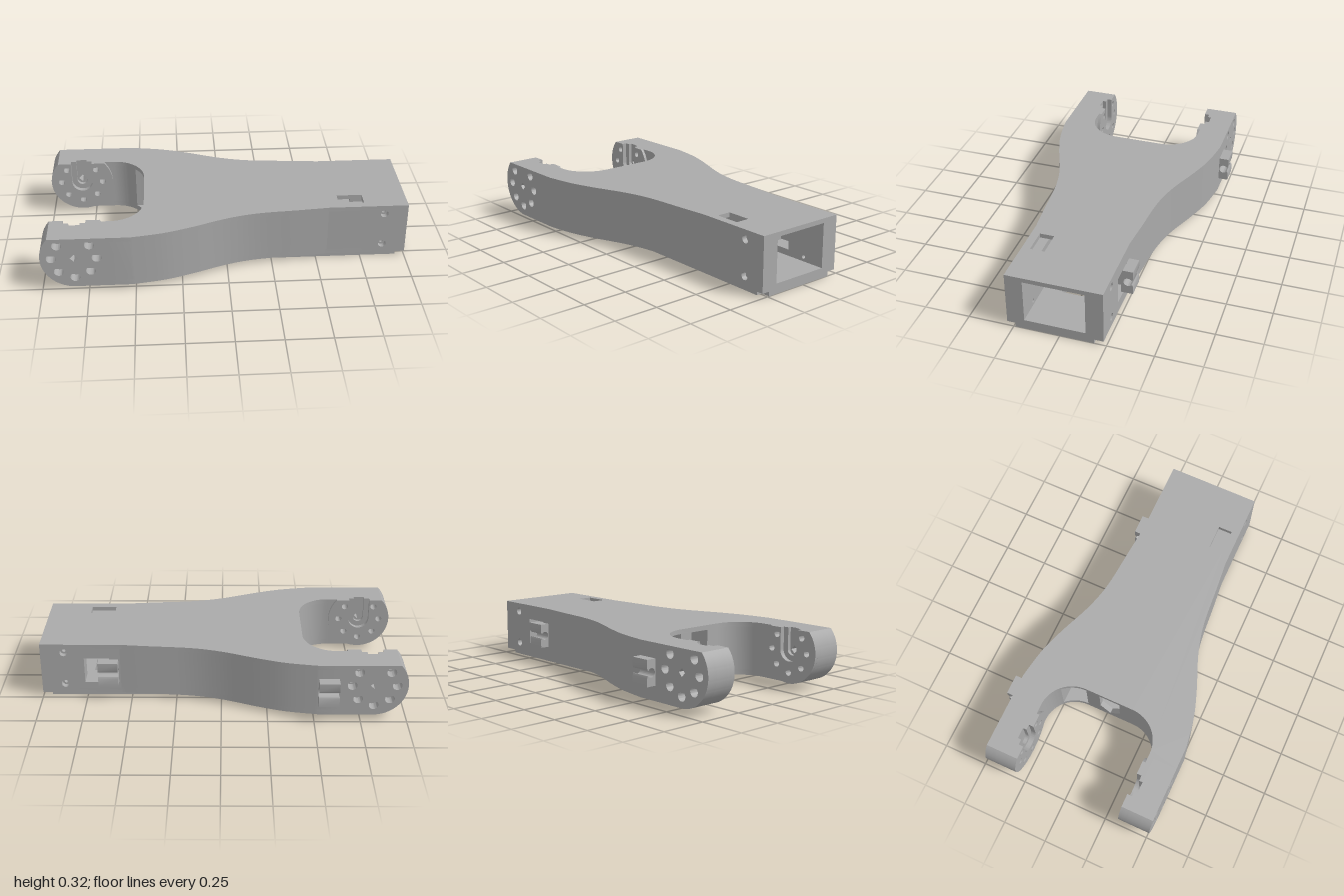
import * as THREE from 'three';
import { toCreasedNormals } from 'three/addons/utils/BufferGeometryUtils.js';

const MID = 0.025;            // z of the symmetry plane
const CX = -0.82, CY = 0.205; // axis of the fork joint
const R = 0.18, TOP = 0.325, BOT = 0.025;
const V = (x, y) => new THREE.Vector2(x, y);
const rect = (x0, x1, y0, y1) => [V(x0, y0), V(x1, y0), V(x1, y1), V(x0, y1)];
const ring = (x, y, r, n = 20) =>
  Array.from({ length: n }, (_, i) => V(x + r * Math.cos(i / n * 2 * Math.PI), y + r * Math.sin(i / n * 2 * Math.PI)));
const teardrop = (x, y, r) => new THREE.Path().moveTo(x, y + r * 1.35)
  .absarc(x, y, r, Math.PI * 0.75, Math.PI * 2.25, false).getPoints(16);

export function createModel() {
  const group = new THREE.Group();
  const grey = new THREE.MeshStandardMaterial({ color: 0xaaaaaa });
  grey.name = 'plain grey';

  function add(name, geometry) {
    const mesh = new THREE.Mesh(toCreasedNormals(geometry, 0.5), grey);
    mesh.name = name;
    group.add(mesh);
  }
  function extrude(outline, holes, depth) {
    const shape = outline instanceof THREE.Shape ? outline : new THREE.Shape(outline);
    shape.holes = holes.map(h => new THREE.Path(h));
    return new THREE.ExtrudeGeometry(shape, { depth, bevelEnabled: false, curveSegments: 24 });
  }
  // outline in (x, z), raised from y0 to y1
  const slab = (name, outline, y0, y1, holes = []) =>
    add(name, extrude(outline, holes, y1 - y0).rotateX(Math.PI / 2).translate(0, y1, 0));
  // outline in (x, y), between distances w0 and w1 from the symmetry plane
  const side = (name, s, outline, w0, w1, holes = []) =>
    add(name, extrude(outline, holes, w1 - w0).translate(0, 0, s > 0 ? MID + w0 : MID - w1));
  // outline in (z, y), from x0 to x1
  const across = (name, outline, x0, x1, holes = []) =>
    add(name, extrude(outline, holes, x1 - x0).rotateY(-Math.PI / 2).translate(x1, 0, 0));

  // Plan curves, as (x, distance from the symmetry plane)
  const flank = [V(-0.65, 0.49), ...new THREE.SplineCurve([
    V(-0.52, 0.49), V(-0.35, 0.46), V(-0.2, 0.412), V(0, 0.335), V(0.17, 0.295), V(0.4, 0.275), V(0.56, 0.26),
  ]).getPoints(36)];
  const crotch = (t0) => Array.from({ length: 17 }, (_, i) => {
    const t = t0 + (Math.PI / 2 - t0) * i / 16;
    return V(-0.63 + 0.18 * Math.cos(t), 0.14 + 0.185 * Math.sin(t));
  }).concat(V(-0.65, 0.325));
  const flip = (pts, s) => pts.map(p => V(p.x, MID + s * p.y));

  const half = [...crotch(0), ...flank, V(1, 0.26)];
  const plan = [...flip(half, -1), ...flip(half, 1).reverse()];

  // Lattice openings of the floor: crossing braces leave four triangles per bay
  const openings = [rect(0.56, 0.73, -0.035, 0.085)];
  for (const [x0, x1] of [[0.08, 0.46], [-0.34, 0.04]]) {
    const xm = (x0 + x1) / 2, z0 = -0.13, z1 = 0.18, g = 0.02;
    openings.push(
      [V(x0 + 2 * g, z0), V(x1 - 2 * g, z0), V(xm, MID - g)],
      [V(x0 + 2 * g, z1), V(x1 - 2 * g, z1), V(xm, MID + g)],
      [V(x0, z0 + g), V(x0, z1 - g), V(xm - 2 * g, MID)],
      [V(x1, z0 + g), V(x1, z1 - g), V(xm + 2 * g, MID)]);
  }

  // Hollow body
  slab('topPlate', plan, 0.3, TOP, [rect(0.62, 0.76, 0.16, 0.24)]);
  slab('floor', plan, BOT, 0.055, openings);
  slab('bottomCover', [V(-0.4, -0.215), V(0.95, -0.215), V(0.95, -0.185), V(1, -0.185),
    V(1, 0.24), V(0.95, 0.24), V(0.95, 0.275), V(-0.4, 0.275)], 0, BOT, openings);
  const inner = [V(0.56, 0.165), V(0.3, 0.165), V(-0.2, 0.25), V(-0.3, 0.27)];
  slab('backFlank', flip([...flank, ...inner, ...crotch(0.78)], -1), 0.055, 0.3);
  slab('frontFlank', flip([...flank, ...inner, V(-0.42, 0.2), V(-0.42, 0.14), ...crotch(0)], 1), 0.055, 0.3);
  across('crotchWall', rect(-0.115, 0.165, 0.055, 0.3), -0.45, -0.42,
    [[V(-0.035, 0.299), V(-0.035, 0.13), V(0.025, 0.057), V(0.085, 0.13), V(0.085, 0.299)]]);

  // Straight end walls with screw holes and, at the back, a clip opening
  for (const s of [-1, 1]) {
    const wall = rect(0.56, 1, 0.055, 0.3);
    const slot = s < 0 ? [rect(0.62, 0.76, 0.09, 0.24)] : [];
    const screws = r => [0.275, 0.08].map(y => ring(0.87, y, r));
    side('endWall', s, wall, 0.165, 0.23, [...slot, ...screws(0.011)]);
    side('endWallFace', s, wall, 0.23, 0.26, [...slot, ...screws(0.022)]);
  }

  // Fork arms: stacked layers with a stepped slot on the inside and bolt holes
  const tip = Math.PI - Math.asin((TOP - CY) / R);
  function armShape(slot, disc) {
    const s = new THREE.Shape();
    const xr = disc ? CX - R * Math.cos(tip) : -0.65;
    s.moveTo(xr, TOP);
    if (slot) {
      s.lineTo(CX + slot, TOP).lineTo(CX + slot, CY);
      s.absarc(CX, CY, slot, 0, -Math.PI, true);
      s.lineTo(CX - slot, TOP);
    }
    s.lineTo(CX + R * Math.cos(tip), TOP);
    s.absarc(CX, CY, R, tip, disc ? 3 * Math.PI - tip : 1.5 * Math.PI, false);
    if (!disc) s.lineTo(-0.65, BOT);
    return s;
  }
  const bolts = [[-0.085, 0.08], [0.085, 0.08], [-0.12, 0], [0.12, 0], [-0.085, -0.083], [0.085, -0.083], [0, -0.12]];
  const boltHoles = r => bolts.map(([x, y]) => teardrop(CX + x, CY + y, r));
  const axle = ring(CX, CY, 0.022, 4);
  for (const s of [-1, 1]) {
    side('jointDisc', s, armShape(0.06, true), 0.308, 0.325, boltHoles(0.018));
    side('armInnerLayer', s, armShape(0.06, false), 0.325, 0.335, boltHoles(0.018));
    side('armSlotLayer', s, armShape(0.03, false), 0.335, 0.355, boltHoles(0.018));
    side('armCore', s, armShape(0, false), 0.355, 0.43, [axle, ...boltHoles(0.018)]);
    side('armOuterLayer', s, armShape(0, false), 0.43, 0.49, [axle, ...boltHoles(0.026)]);
  }

  // Cable clips on the back: a block with a round channel open to the outside
  function clip(x0, x1, zWall, y) {
    const zc = zWall - 0.027, zo = zWall - 0.055, a = Math.asin(0.014 / 0.024);
    const s = new THREE.Shape().moveTo(zWall + 0.01, y - 0.07).lineTo(zWall + 0.01, y + 0.07)
      .lineTo(zo, y + 0.07).lineTo(zo, y + 0.025).lineTo(zo + 0.005, y + 0.014);
    s.absarc(zc, y, 0.024, Math.PI - a, -Math.PI + a, true);
    s.lineTo(zo + 0.005, y - 0.014).lineTo(zo, y - 0.025).lineTo(zo, y - 0.07);
    across('cableClip', s, x0, x1);
  }
  clip(-0.63, -0.52, -0.465, 0.175);
  clip(0.57, 0.68, -0.235, 0.165);

  return group;
}
